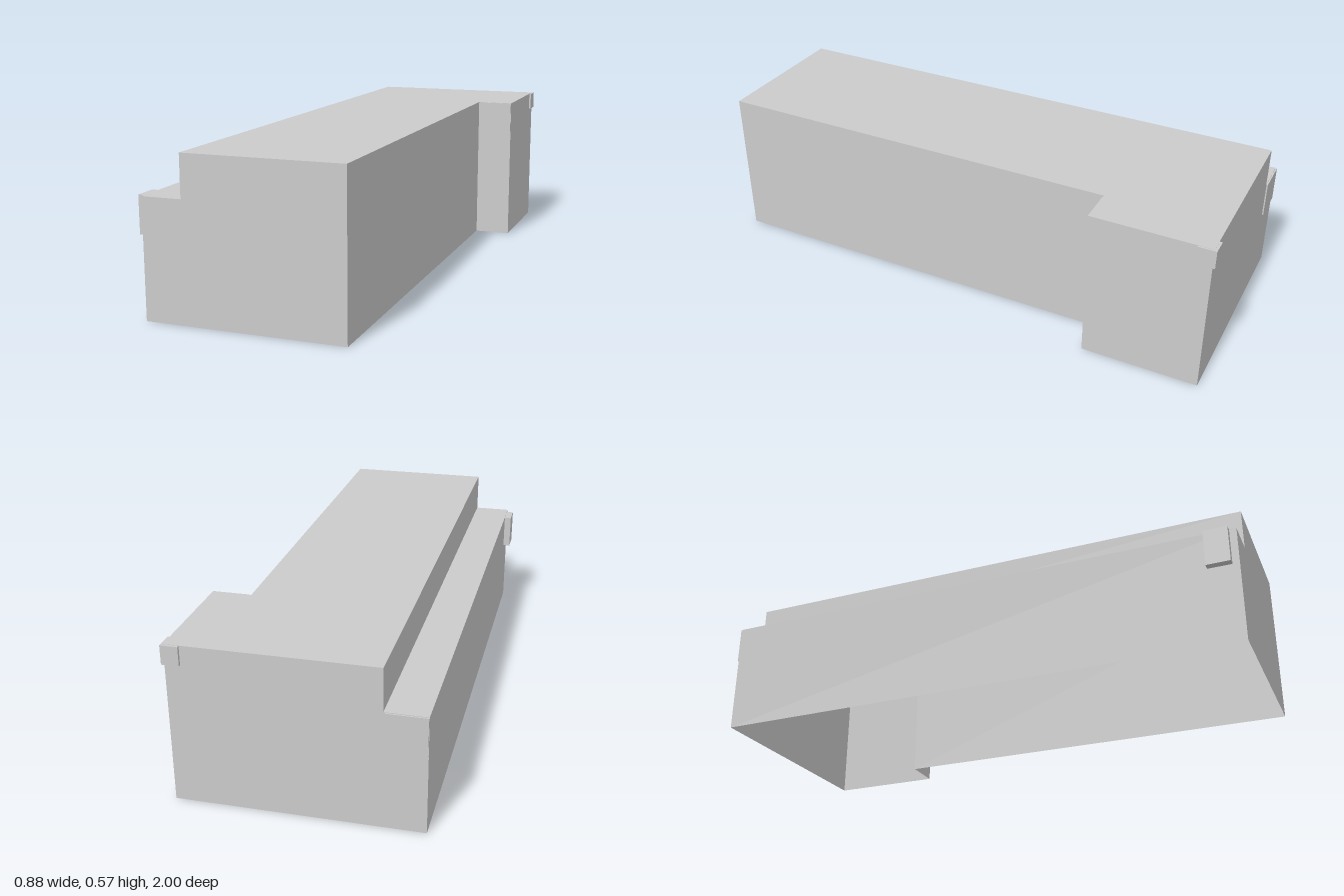
import * as THREE from 'three';

const material = new THREE.MeshStandardMaterial({ color: 0xcccccc, flatShading: true, side: THREE.DoubleSide });

// Key lines of the building shell
const RIGHT = -0.415, STEP = -0.272, LEFT = 0.293, WING = 0.433;
const BACK = -0.99, NOTCH = -0.56, FRONT = 1;
const LEDGE = 0.42, TOP = 0.57;

// Flat panel from a planar outline; toWorld places each 2D point in space
function panel(name, outline, toWorld) {
  const geometry = new THREE.ShapeGeometry(new THREE.Shape(outline.map(([a, b]) => new THREE.Vector2(a, b))));
  const p = geometry.attributes.position;
  for (let i = 0; i < p.count; i++) p.setXYZ(i, ...toWorld(p.getX(i), p.getY(i)));
  // planes whose mapping mirrors the outline need their winding turned
  const [o, u, v] = [[0, 0], [1, 0], [0, 1]].map(([a, b]) => new THREE.Vector3(...toWorld(a, b)));
  const normal = u.sub(o).cross(v.sub(o));
  const outward = { frontWall: [0, 0, 1], notchWall: [0, 0, 1], backWall: [0, 0, -1], leftWall: [1, 0, 0],
    wingWall: [1, 0, 0], rightWall: [-1, 0, 0], stepWall: [-1, 0, 0], roof: [0, 1, 0], ledge: [0, 1, 0] }[name];
  if (normal.dot(new THREE.Vector3(...outward)) < 0) {
    const index = geometry.index.array;
    for (let i = 0; i < index.length; i += 3) [index[i], index[i + 1]] = [index[i + 1], index[i]];
  }
  geometry.computeVertexNormals();
  const mesh = new THREE.Mesh(geometry, material);
  mesh.name = name;
  return mesh;
}

// Box given by its limits on each axis
function block(name, [x0, x1], [y0, y1], [z0, z1]) {
  const mesh = new THREE.Mesh(new THREE.BoxGeometry(x1 - x0, y1 - y0, z1 - z0), material);
  mesh.position.set((x0 + x1) / 2, (y0 + y1) / 2, (z0 + z1) / 2);
  mesh.name = name;
  return mesh;
}

const rect = (a0, a1, b0, b1) => [[a0, b0], [a1, b0], [a1, b1], [a0, b1]];
const stepped = (left) => [[RIGHT, 0], [left, 0], [left, TOP], [STEP, TOP], [STEP, LEDGE], [RIGHT, LEDGE]];
const atX = (x) => (z, y) => [x, y, z];
const atY = (y) => (x, z) => [x, y, z];
const atZ = (z) => (x, y) => [x, y, z];

export function createModel() {
  const model = new THREE.Group();

  // Thin shell, open underneath
  const shell = new THREE.Group();
  shell.name = 'shell';
  shell.add(
    panel('frontWall', stepped(LEFT), atZ(FRONT)),
    panel('backWall', stepped(WING), atZ(BACK)),
    panel('notchWall', rect(LEFT, WING, 0, TOP), atZ(NOTCH)),
    panel('leftWall', rect(NOTCH, FRONT, 0, TOP), atX(LEFT)),
    panel('wingWall', rect(BACK, NOTCH, 0, TOP), atX(WING)),
    panel('rightWall', rect(BACK, FRONT, 0, LEDGE), atX(RIGHT)),
    panel('stepWall', rect(BACK, FRONT, LEDGE, TOP), atX(STEP)),
    panel('ledge', rect(RIGHT, STEP, BACK, FRONT), atY(LEDGE)),
    panel('roof', [[STEP, BACK], [WING, BACK], [WING, NOTCH], [LEFT, NOTCH], [LEFT, FRONT], [STEP, FRONT]], atY(TOP))
  );
  model.add(shell);

  // Small blocks set into the walls
  model.add(
    block('sideTab', [-0.442, -0.398], [0.285, 0.418], [0.89, 0.975]),
    block('backPlate', [-0.414, -0.279], [0.285, 0.418], [-0.995, -0.95]),
    block('notchPlate', [0.299, 0.432], [0.42, 0.569], [-0.6, -0.556]),
    block('cornerBlock', [0.38, 0.44], [0.502, 0.569], [-1, -0.935])
  );

  // Blocks under the roof
  model.add(
    block('innerBlockFront', [-0.18, -0.11], [0.42, 0.569], [-0.18, -0.095]),
    block('innerBlockMiddle', [-0.16, -0.09], [0.285, 0.42], [-0.27, -0.19]),
    block('innerBlockBack', [-0.15, -0.07], [0.42, 0.569], [-0.44, -0.32])
  );
  return model;
}
